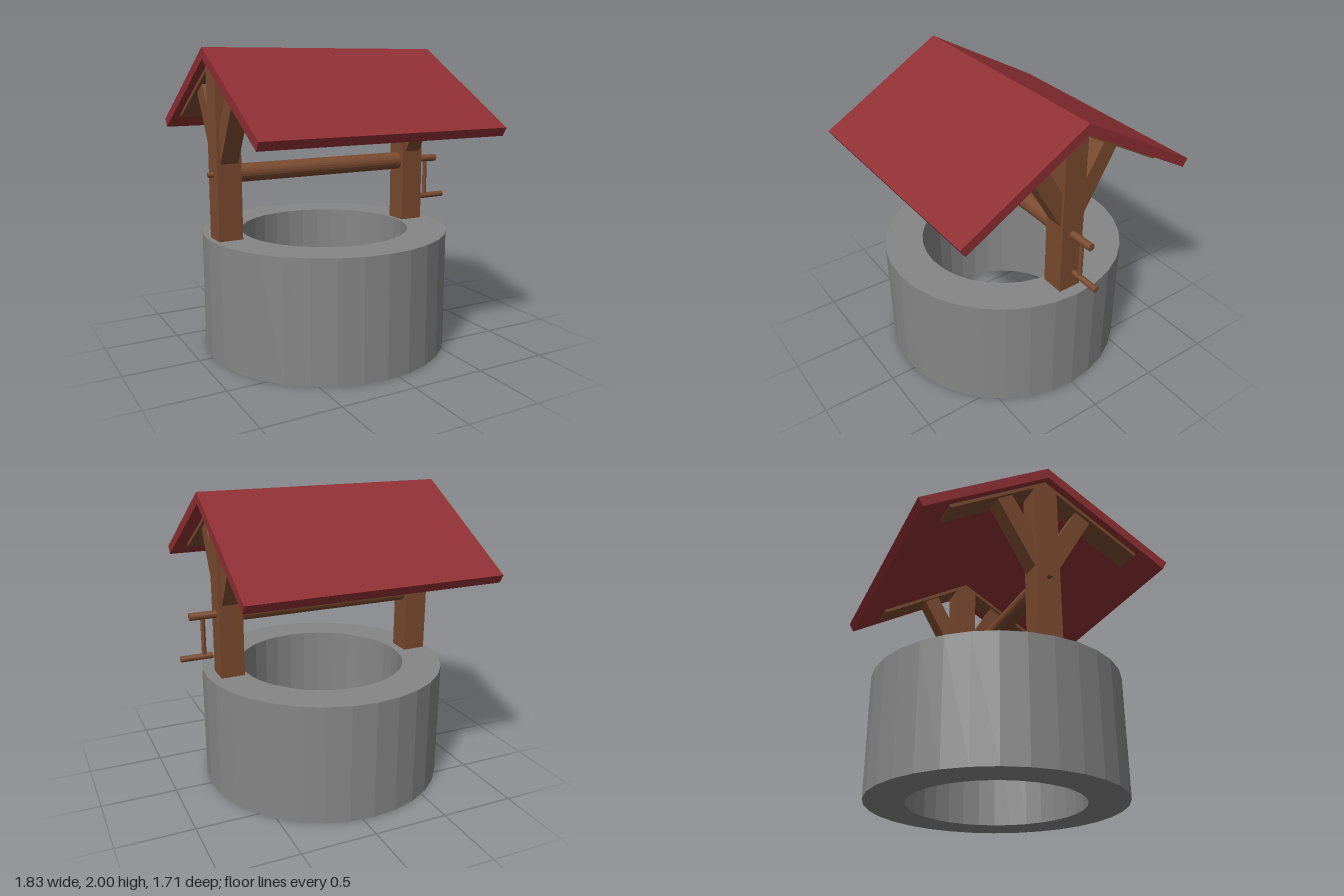
import * as THREE from 'three';

const mat = (color) => new THREE.MeshStandardMaterial({ color, flatShading: true });

export function createModel() {
  const model = new THREE.Group();
  model.name = 'well';
  const stone = mat(0x868686), wood = mat(0x7a4a2f), red = mat(0x8f2f33);
  const cx = -0.08, postX = [-0.79, 0.59];

  const add = (name, geometry, material, x = 0, y = 0, z = 0) => {
    const mesh = new THREE.Mesh(geometry, material);
    mesh.name = name;
    mesh.position.set(x, y, z);
    model.add(mesh);
    return mesh;
  };

  // Side outline given as [z, y] points, extruded along x and centred on x
  const slab = (name, points, width, material, x) => {
    const shape = new THREE.Shape(points.map(([z, y]) => new THREE.Vector2(-z, y)));
    const geometry = new THREE.ExtrudeGeometry(shape, { depth: width, bevelEnabled: false });
    geometry.translate(0, 0, -width / 2).rotateY(Math.PI / 2);
    return add(name, geometry, material, x);
  };

  // Round bar lying along x
  const bar = (name, x0, x1, y, r) =>
    add(name, new THREE.CylinderGeometry(r, r, x1 - x0, 24).rotateZ(Math.PI / 2), wood, (x0 + x1) / 2, y);

  // Stone ring, open through the middle
  const ring = [[0.57, 0], [0.83, 0], [0.83, 0.795], [0.57, 0.795], [0.57, 0]];
  add('stoneRing', new THREE.LatheGeometry(ring.map(([r, y]) => new THREE.Vector2(r, y)), 32), stone, cx);

  // Gabled roof, 30 degree pitch
  slab('roof', [[0, 2], [0.855, 1.507], [0.823, 1.453], [0, 1.928], [-0.823, 1.453], [-0.855, 1.507]], 1.677, red, cx);

  // Posts, rafters and braces at each end
  for (const x of postX) {
    slab('post', [[-0.08, 0.795], [0.08, 0.795], [0.08, 1.88], [0, 1.926], [-0.08, 1.88]], 0.16, wood, x);
    for (const s of [-1, 1]) {
      slab('rafter', [[0, 1.927], [s * 0.65, 1.552], [s * 0.638, 1.533], [0, 1.901]], 0.16, wood, x);
      slab('brace', [[s * 0.07, 1.27], [s * 0.333, 1.725], [s * 0.233, 1.785], [s * 0.07, 1.507]], 0.116, wood, x);
    }
  }

  // Winding drum and its axle ends
  bar('drum', -0.72, 0.52, 1.215, 0.06);
  bar('axleStub', -0.905, -0.7, 1.215, 0.017);
  bar('crankShaft', 0.5, 0.845, 1.215, 0.025);

  // Crank arm and grip
  add('crankArm', new THREE.CylinderGeometry(0.015, 0.015, 0.27, 24), wood, 0.758, 1.075);
  bar('crankGrip', 0.703, 0.915, 0.938, 0.02);

  return model;
}
